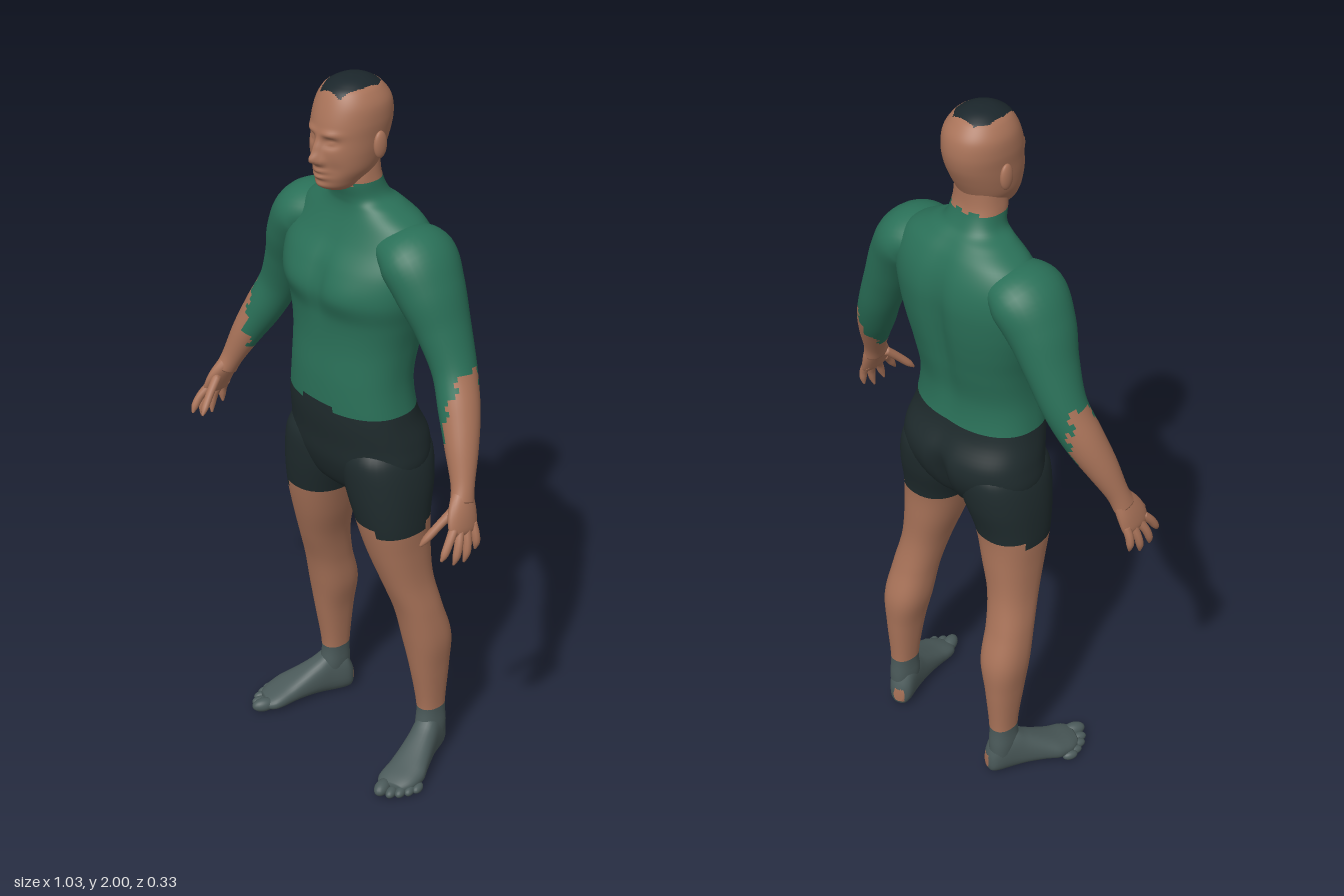
import * as THREE from 'three';

const mat = (name, color) => Object.assign(new THREE.MeshStandardMaterial({ color }), { name });
const V = (x, y, z) => new THREE.Vector3(x, y, z);
const bell = (d, s) => Math.exp(-(d * d) / (s * s));
const spow = (v, e) => Math.sign(v) * Math.abs(v) ** e;

// Smoothly resample rows of numbers (Catmull-Rom on every column)
function resample(rows, n) {
  const at = i => rows[Math.min(Math.max(i, 0), rows.length - 1)];
  return Array.from({ length: n + 1 }, (_, k) => {
    const f = k / n * (rows.length - 1), i = Math.min(Math.floor(f), rows.length - 2), t = f - i;
    return at(i).map((b, c) => {
      const a = at(i - 1)[c], d = at(i + 1)[c], e = at(i + 2)[c];
      return b + 0.5 * t * (d - a + t * (2 * a - 5 * b + 4 * d - e + t * (3 * (b - d) + e - a)));
    });
  });
}

// Closed lofted surface; place(row, cos, sin, tangent) returns a point
function surface(rows, place, nu, nv) {
  const rs = resample(rows, nv), pos = [], idx = [];
  rs.forEach((r, j) => {
    const p = rs[Math.max(j - 1, 0)], q = rs[Math.min(j + 1, nv)];
    const t = V(q[0] - p[0], q[1] - p[1], q[2] - p[2]).normalize();
    for (let i = 0; i < nu; i++) {
      const a = i / nu * Math.PI * 2;
      pos.push(...place(r, Math.cos(a), Math.sin(a), t).toArray());
    }
  });
  for (let j = 0; j < nv; j++) for (let i = 0; i < nu; i++) {
    const a = j * nu + i, b = j * nu + (i + 1) % nu;
    idx.push(a, a + nu, b, b, a + nu, b + nu);
  }
  // end caps
  for (const j of [0, nv]) {
    const c = V(0, 0, 0), n = pos.length / 3;
    for (let i = 0; i < nu; i++) c.add(V(...pos.slice((j * nu + i) * 3, (j * nu + i) * 3 + 3)));
    pos.push(...c.divideScalar(nu).toArray());
    for (let i = 0; i < nu; i++) {
      const a = j * nu + i, b = j * nu + (i + 1) % nu;
      idx.push(n, ...(j ? [b, a] : [a, b]));
    }
  }
  const g = new THREE.BufferGeometry();
  g.setAttribute('position', new THREE.Float32BufferAttribute(pos, 3));
  g.setIndex(idx);
  g.computeVertexNormals();
  return g;
}

function mirrored(g) {
  const m = g.clone().scale(-1, 1, 1), ix = m.index.array;
  for (let i = 0; i < ix.length; i += 3) [ix[i], ix[i + 1]] = [ix[i + 1], ix[i]];
  return m;
}

// Upright section: [y, half width, front z, back z, optional centre x]
const upright = (bump = () => 0, e = 0.88) => ([y, w, f, b, cx = 0], c, s) => {
  const x = w * spow(c, e), z = (f + b) / 2 + (f - b) / 2 * spow(s, e);
  return V(cx + x, y, z + bump(x, y, s));
};
// Section across a path: [x, y, z, radius across, radius in depth]
const limb = ([x, y, z, ra, rb], c, s, t) => {
  const v = V(0, 0, 1).addScaledVector(t, -t.z).normalize(), u = t.clone().cross(v);
  return V(x, y, z).addScaledVector(u, ra * c).addScaledVector(v, rb * s);
};

export function createModel() {
  const root = new THREE.Group();
  const M = {
    skin: mat('skin', 0xa97359), shirt: mat('green shirt', 0x2a7058), shorts: mat('dark shorts', 0x1f2b2d),
    socks: mat('grey socks', 0x4b5a5a), hair: mat('black hair', 0x1b262b),
  };
  // Split a surface into one named mesh per colour, chosen face by face
  const add = (name, geo, pick, sides = false) => {
    const p = geo.attributes.position, ix = geo.index.array, bins = {};
    for (let i = 0; i < ix.length; i += 6) {
      const c = V(0, 0, 0), q = ix.slice(i, i + 6);
      q.forEach(k => c.add(V(p.getX(k), p.getY(k), p.getZ(k))));
      c.divideScalar(q.length);
      const key = typeof pick === 'string' ? pick : pick(c.x, c.y, c.z);
      (bins[key] ??= []).push(...q);
    }
    for (const key in bins) {
      const g = new THREE.BufferGeometry();
      g.setAttribute('position', p);
      g.setAttribute('normal', geo.attributes.normal);
      g.setIndex(bins[key]);
      const label = Object.keys(bins).length > 1 ? `${name} ${key}` : name;
      for (const side of sides ? ['left ', 'right '] : ['']) {
        const mesh = new THREE.Mesh(side === 'right ' ? mirrored(g) : g, M[key]);
        mesh.name = side + label;
        root.add(mesh);
      }
    }
  };
  const ball = (x, y, z, a, b, c) => new THREE.SphereGeometry(1, 20, 14).scale(a, b, c).translate(x, y, z);

  // Torso with neck, chest and hips
  const torsoBump = (x, y, s) => s > 0
    ? s * (-0.014 * bell(x, 0.025) * bell(y - 1.48, 0.08) + 0.008 * bell(Math.abs(x) - 0.09, 0.06) * bell(y - 1.46, 0.05))
    : -s * (0.02 * bell(x, 0.035) * bell(y - 1.42, 0.2) + 0.03 * bell(x, 0.025) * bell(y - 0.96, 0.08));
  add('torso', surface([
    [0.84, 0.09, 0.04, -0.07], [0.88, 0.165, 0.08, -0.115], [0.95, 0.21, 0.108, -0.155], [1.02, 0.207, 0.118, -0.163],
    [1.1, 0.192, 0.128, -0.128], [1.2, 0.18, 0.128, -0.118], [1.3, 0.186, 0.12, -0.138], [1.38, 0.203, 0.122, -0.155],
    [1.45, 0.22, 0.136, -0.166], [1.52, 0.225, 0.118, -0.17], [1.58, 0.215, 0.08, -0.16], [1.63, 0.185, 0.056, -0.138],
    [1.665, 0.125, 0.046, -0.11], [1.69, 0.083, 0.048, -0.085], [1.74, 0.07, 0.06, -0.064], [1.8, 0.062, 0.05, -0.06],
  ], upright(torsoBump), 72, 96), (x, y, z) =>
    y > 1.728 + 0.006 * Math.sign(Math.sin(x * 130)) ? 'skin'
      : y < 1.118 + (Math.abs(x) < 0.065 && z > 0 ? 0.022 : 0) ? 'shorts' : 'shirt');

  // Head, with the face raised from it
  const face = (x, y, s) => {
    if (s < 0) return 0;
    const ax = Math.abs(x);
    return s * (0.026 * bell(x, 0.014) * bell(y - 1.81, 0.016) + 0.014 * bell(x, 0.011) * bell(y - 1.838, 0.024)
      + 0.007 * bell(ax - 0.016, 0.008) * bell(y - 1.803, 0.01)
      - 0.014 * bell(ax - 0.034, 0.019) * bell(y - 1.855, 0.012) + 0.008 * bell(ax - 0.034, 0.011) * bell(y - 1.854, 0.006)
      + 0.007 * bell(ax - 0.035, 0.025) * bell(y - 1.877, 0.009)
      + 0.009 * bell(x, 0.024) * (bell(y - 1.778, 0.007) + bell(y - 1.761, 0.007))
      - 0.004 * bell(ax - 0.045, 0.02) * bell(y - 1.785, 0.02) + 0.006 * bell(x, 0.025) * bell(y - 1.737, 0.01));
  };
  add('head', surface([
    [1.717, 0.03, 0.085, -0.01], [1.73, 0.047, 0.106, -0.03], [1.75, 0.06, 0.113, -0.045], [1.78, 0.075, 0.116, -0.06],
    [1.82, 0.083, 0.119, -0.08], [1.86, 0.087, 0.117, -0.096], [1.9, 0.09, 0.111, -0.102], [1.94, 0.086, 0.097, -0.095],
    [1.97, 0.07, 0.08, -0.074], [1.985, 0.052, 0.06, -0.054], [1.995, 0.03, 0.036, -0.03], [1.999, 0.004, 0.008, 0],
  ], upright(face, 0.95), 96, 100), (x, y, z) =>
    y > 1.93 && z < 0.078 && z > -0.058 && Math.abs(x) < Math.min(0.056, 0.036 + (0.08 - z) * 0.35, 0.034 + (z + 0.06) * 0.7)
      ? 'hair' : 'skin');
  add('ear', ball(0.092, 1.84, -0.004, 0.011, 0.036, 0.02).rotateY(0), 'skin', true);

  // Arms with three-quarter sleeves
  add('arm', surface([
    [0.13, 1.585, -0.035, 0.05, 0.085], [0.195, 1.56, -0.035, 0.082, 0.108], [0.245, 1.49, -0.035, 0.078, 0.096],
    [0.288, 1.4, -0.04, 0.064, 0.076], [0.333, 1.3, -0.038, 0.055, 0.06], [0.377, 1.21, -0.015, 0.052, 0.054],
    [0.416, 1.13, 0.012, 0.042, 0.044], [0.449, 1.05, 0.038, 0.03, 0.031], [0.463, 1.01, 0.052, 0.026, 0.034],
  ], limb, 32, 56), (x, y) => x < 0.386 + 0.006 * Math.sign(Math.sin(y * 110)) ? 'shirt' : 'skin', true);

  // Hands
  add('palm', surface([
    [0.455, 1.035, 0.044, 0.024, 0.028], [0.468, 1.005, 0.056, 0.022, 0.04], [0.479, 0.975, 0.066, 0.019, 0.046],
    [0.488, 0.945, 0.071, 0.014, 0.044], [0.49, 0.935, 0.072, 0.005, 0.03],
  ], limb, 20, 14), 'skin', true);
  const finger = (name, ...pts) => add(name, surface(
    pts.map((p, i) => [...p, ...Array(2).fill([0.013, 0.0115, 0.01, 0.003][i])]), limb, 10, 12), 'skin', true);
  finger('thumb', [0.462, 0.995, 0.085], [0.45, 0.962, 0.12], [0.438, 0.93, 0.15], [0.432, 0.913, 0.165]);
  finger('index finger', [0.484, 0.958, 0.1], [0.492, 0.935, 0.122], [0.495, 0.908, 0.14], [0.493, 0.89, 0.15]);
  finger('middle finger', [0.487, 0.952, 0.082], [0.5, 0.922, 0.097], [0.504, 0.892, 0.108], [0.5, 0.868, 0.114]);
  finger('ring finger', [0.487, 0.95, 0.06], [0.5, 0.918, 0.067], [0.504, 0.888, 0.073], [0.5, 0.862, 0.078]);
  finger('little finger', [0.486, 0.955, 0.038], [0.498, 0.93, 0.038], [0.502, 0.905, 0.038], [0.499, 0.884, 0.039]);

  // Legs
  add('leg', surface([
    [0.04, 0.028, -0.07, -0.15, 0.2], [0.1, 0.034, -0.06, -0.153, 0.2], [0.17, 0.033, -0.065, -0.15, 0.198],
    [0.3, 0.045, -0.043, -0.16, 0.196], [0.4, 0.06, -0.025, -0.163, 0.19], [0.5, 0.06, -0.003, -0.135, 0.182],
    [0.6, 0.061, 0.032, -0.115, 0.166], [0.7, 0.075, 0.064, -0.113, 0.149], [0.8, 0.091, 0.088, -0.117, 0.136],
    [0.9, 0.105, 0.103, -0.14, 0.118], [0.98, 0.1, 0.105, -0.145, 0.108], [1.03, 0.07, 0.08, -0.12, 0.108],
  ], upright(), 36, 90), (x, y, z) =>
    y < 0.168 ? 'socks' : y > (x > 0.172 && z > -0.06 ? 0.775 : 0.8) ? 'shorts' : 'skin', true);

  // Feet, turned outward, with a worn patch at the heel
  const turn = g => g.rotateY(0.38).translate(0.2, 0, -0.105);
  add('foot', turn(surface([
    [-0.054, 0.014, 0.065, 0.02], [-0.045, 0.027, 0.09, 0.005], [-0.025, 0.035, 0.125, 0], [0.02, 0.037, 0.138, 0],
    [0.06, 0.041, 0.112, 0.003], [0.11, 0.048, 0.084, 0.003], [0.155, 0.055, 0.062, 0], [0.195, 0.052, 0.046, 0],
    [0.22, 0.036, 0.034, 0.004],
  ], ([l, w, top, low], c, s) =>
    V(-w * spow(c, 0.85) - (l > 0.15 ? (l - 0.15) * 0.25 : 0), (top + low) / 2 + (top - low) / 2 * spow(s, 0.85), l), 32, 36)),
  (x, y, z) => z < -0.145 && y > 0.02 && y < 0.065 && x < 0.19 ? 'skin' : 'socks', true);
  [[-0.036, 0.228, 0.02], [-0.008, 0.23, 0.014], [0.014, 0.217, 0.014], [0.033, 0.2, 0.013], [0.048, 0.18, 0.013]]
    .forEach(([x, z, r], i) => add(`toe ${i + 1}`, turn(ball(x, r, z, r, r, r * 1.7)), 'socks', true));

  return root;
}
